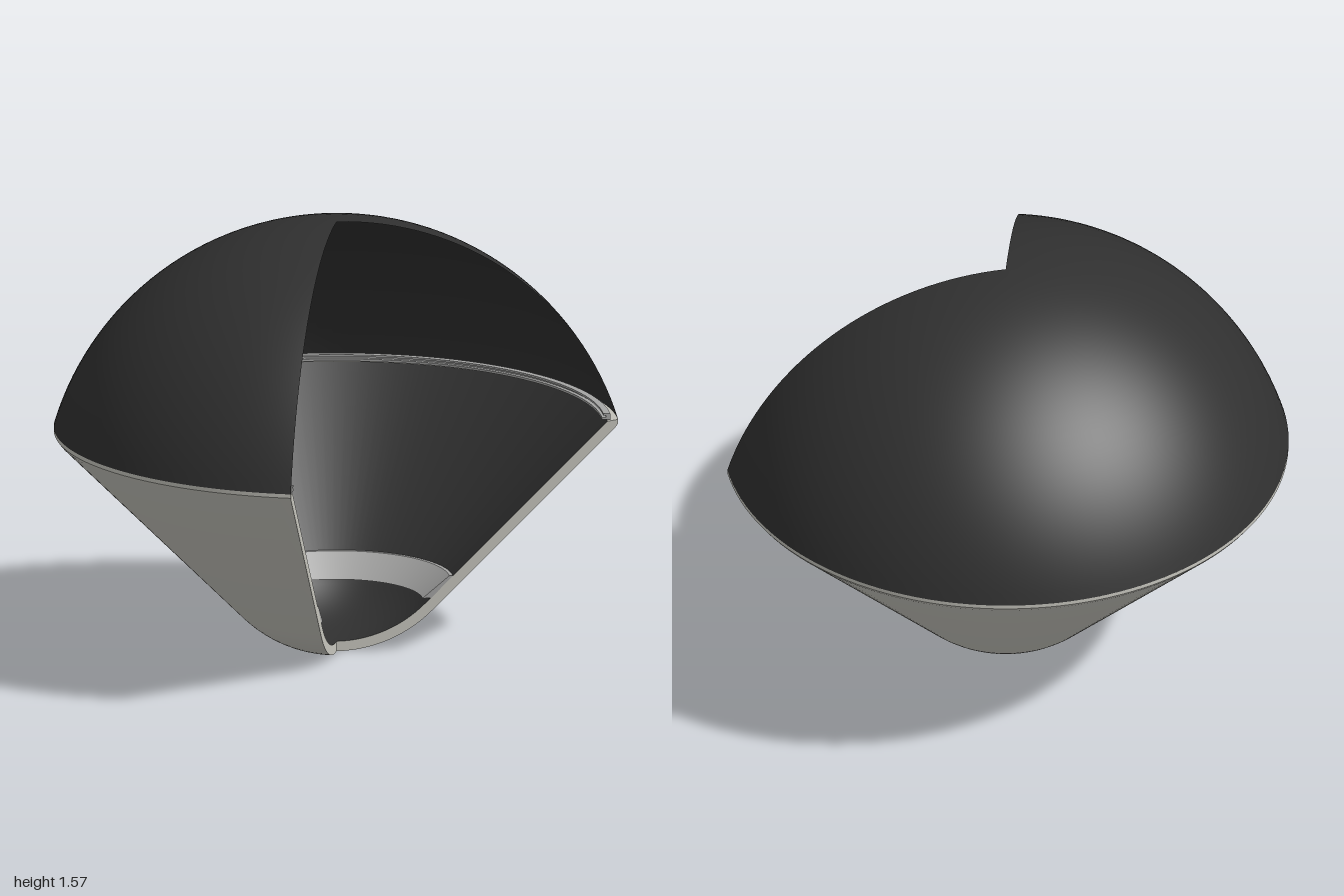
import * as THREE from 'three';
import { toCreasedNormals } from 'three/addons/utils/BufferGeometryUtils.js';

// Everything is a revolution with a 105 degree wedge cut away
const START = THREE.MathUtils.degToRad(95);
const SWEEP = THREE.MathUtils.degToRad(255);
const SEGMENTS = 96;

const v = (r, y) => new THREE.Vector2(r, y);

// Circular arc in the (radius, height) plane; angle measured from straight down
function arc(radius, centreY, from, to, steps) {
  const pts = [];
  for (let i = 0; i <= steps; i++) {
    const a = from + (to - from) * i / steps;
    pts.push(v(Math.max(0, radius * Math.sin(a)), centreY - radius * Math.cos(a)));
  }
  return pts;
}

export function createModel() {
  const model = new THREE.Group();
  const mat = (name, color) =>
    new THREE.MeshStandardMaterial({ name, color, side: THREE.DoubleSide });
  const charcoal = mat('charcoal', 0x303030);
  const paleGrey = mat('pale warm grey', 0xc8c7bf);
  const ringGrey = mat('ring grey', 0xa6a6a5);

  const add = (name, geometry, material, parent = model) => {
    const mesh = new THREE.Mesh(geometry, material);
    mesh.name = name;
    parent.add(mesh);
    return mesh;
  };
  const revolve = (pts) => new THREE.LatheGeometry(pts, SEGMENTS, START, SWEEP);

  // Flat faces closing a profile at both sides of the cut
  const addCutFaces = (name, outline, material, parent) => {
    for (const phi of [START, START + SWEEP]) {
      const face = new THREE.ShapeGeometry(new THREE.Shape(outline));
      face.rotateY(phi - Math.PI / 2);
      add(name, face, material, parent);
    }
  };

  // Thin domed roof
  const domeR = 1.0436, domeY = 1.565 - domeR;
  const rimAngle = Math.acos((domeY - 0.82) / domeR);
  add('dome', revolve(arc(domeR, domeY, rimAngle, Math.PI, 32)), charcoal);

  // Thick conical bowl with a rounded bottom
  const bowl = new THREE.Group();
  bowl.name = 'bowl';
  model.add(bowl);
  const outer = [...arc(0.48, 0.48, 0, Math.PI / 4, 14), v(0.99, 0.792), v(1, 0.806), v(1, 0.82)];
  const inner = [...arc(0.444, 0.48, 0, Math.PI / 4, 14), v(0.962, 0.814)];
  add('bowlOuter', toCreasedNormals(revolve(outer), 0.6), paleGrey, bowl);
  add('bowlLining', revolve(inner), charcoal, bowl);
  add('bowlRim', revolve([v(1, 0.82), v(0.962, 0.814)]), paleGrey, bowl);
  addCutFaces('bowlCutFace', [...outer, ...[...inner].reverse()], paleGrey, bowl);

  // Stepped ledge under the dome and sloping ring near the bottom
  const rings = {
    upperRing: [v(0.972, 0.82), v(0.942, 0.82), v(0.942, 0.828), v(0.957, 0.828),
      v(0.957, 0.835), v(0.947, 0.835), v(0.947, 0.842), v(0.972, 0.842)],
    lowerRing: [v(0.335, 0.185), v(0.305, 0.185), v(0.4, 0.265), v(0.414, 0.265)],
  };
  for (const [name, outline] of Object.entries(rings)) {
    const ring = new THREE.Group();
    ring.name = name;
    model.add(ring);
    add(name + 'Body', toCreasedNormals(revolve([...outline, outline[0]]), 0.5), ringGrey, ring);
    addCutFaces(name + 'CutFace', outline, ringGrey, ring);
  }

  return model;
}
